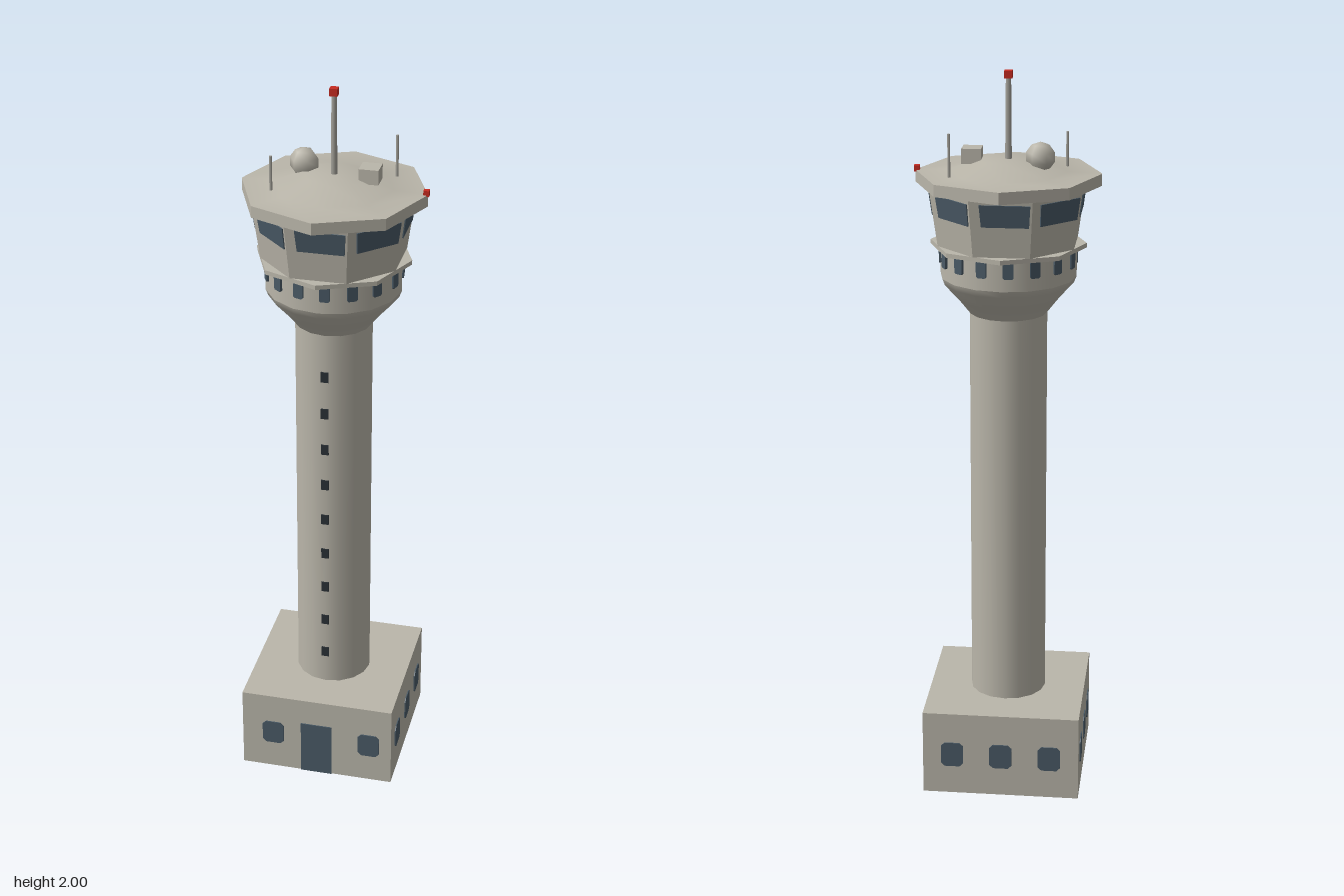
import * as THREE from 'three';

const mat = (name, color) => {
  const m = new THREE.MeshStandardMaterial({ color, side: THREE.DoubleSide });
  m.name = name;
  return m;
};

export function createModel() {
  const concrete = mat('concrete', 0xbab6aa);
  const glass = mat('glass', 0x4a5a66);
  const slit = mat('slit', 0x2a3035);
  const metal = mat('metal', 0xa3a199);
  const red = mat('beaconRed', 0xc62a20);

  const model = new THREE.Group();
  model.name = 'controlTower';

  const add = (name, geometry, material, x = 0, y = 0, z = 0, parent = model) => {
    const mesh = new THREE.Mesh(geometry, material);
    mesh.name = name;
    mesh.position.set(x, y, z);
    parent.add(mesh);
    return mesh;
  };
  const flat = (g) => {
    const f = g.toNonIndexed();
    f.computeVertexNormals();
    return f;
  };
  const lathe = (points, sides) =>
    new THREE.LatheGeometry(points.map(([r, y]) => new THREE.Vector2(r, y)), sides);

  // Thin plate from an outline, centred on its plane
  const plate = (points, depth = 0.006) => {
    const shape = new THREE.Shape(points.map(([x, y]) => new THREE.Vector2(x, y)));
    return new THREE.ExtrudeGeometry(shape, { depth, bevelEnabled: false }).translate(0, 0, -depth / 2);
  };
  // Window outline with clipped corners
  const clipped = (w, h, c) => [
    [-w + c, -h], [w - c, -h], [w, -h + c], [w, h - c],
    [w - c, h], [-w + c, h], [-w, h - c], [-w, -h + c],
  ];
  // Pivot turned about the tower axis, facing outwards along its own +z
  const facing = (name, angle) => {
    const g = new THREE.Group();
    g.name = name;
    g.rotation.y = angle;
    model.add(g);
    return g;
  };

  // Base building: a shell open at the bottom
  const half = 0.218, baseTop = 0.244;
  const shell = new THREE.BoxGeometry(half * 2, baseTop, half * 2);
  const idx = Array.from(shell.index.array);
  idx.splice(18, 6);
  shell.setIndex(idx);
  shell.clearGroups();
  add('baseBuilding', shell, concrete, 0, baseTop / 2, 0);

  // Base windows on four walls, door in the front
  const baseWindow = plate(clipped(0.031, 0.036, 0.01));
  for (let i = 0; i < 4; i++) {
    const wall = facing('baseWall', (i * Math.PI) / 2);
    const places = i === 0 ? [-0.128, 0.152] : [-0.136, 0, 0.136];
    for (const x of places) add('baseWindow', baseWindow, glass, x, 0.12, half, wall);
  }
  add('door', plate([[-0.046, 0], [0.044, 0], [0.044, 0.165], [-0.046, 0.165]]), glass, 0, 0, half);

  // Shaft
  add('shaft', lathe([[0.105, baseTop], [0.105, 1.353]], 16), concrete);
  for (let i = 0; i < 9; i++) {
    add('shaftSlit', new THREE.BoxGeometry(0.021, 0.03, 0.008), slit, -0.001, 0.345 + i * 0.1106, 0.103);
  }

  // Flared collar and the ring below the gallery
  add('collar', lathe([[0.105, 1.353], [0.138, 1.395], [0.176, 1.437], [0.183, 1.455]], 16), concrete);
  add('ring', lathe([[0.183, 1.455], [0.183, 1.535]], 16), concrete);
  const ringWindow = plate(clipped(0.014, 0.023, 0.004), 0.009);
  for (let i = 0; i < 16; i++) {
    const pivot = facing('ringWindowPivot', ((i + 0.25) * Math.PI) / 8);
    add('ringWindow', ringWindow, glass, 0, 1.512, 0.181, pivot);
  }

  // Gallery ledge
  add('galleryLedge', flat(new THREE.CylinderGeometry(0.209, 0.209, 0.012, 8)), concrete, 0, 1.54, 0);

  // Cab: eight walls leaning outwards, each with a wide window
  const cabBottom = 1.545, cabTop = 1.702, a0 = 0.18, a1 = 0.201;
  const c = Math.cos(Math.PI / 8);
  add('cab', flat(new THREE.CylinderGeometry(a1 / c, a0 / c, cabTop - cabBottom, 8, 1, true, Math.PI / 8)),
    concrete, 0, (cabBottom + cabTop) / 2, 0);
  const cabWindow = plate([[-0.051, -0.03], [0.073, -0.03], [0.077, 0.03], [-0.056, 0.03]]);
  const lean = Math.atan2(a1 - a0, cabTop - cabBottom);
  const winY = 1.659;
  const winZ = a0 + ((a1 - a0) * (winY - cabBottom)) / (cabTop - cabBottom);
  for (let i = 0; i < 8; i++) {
    const wall = facing('cabWall', (i * Math.PI) / 4);
    add('cabWindow', cabWindow, glass, 0, winY, winZ, wall).rotation.x = lean;
  }

  // Roof slab and the low raised crown
  add('roofSlab', flat(new THREE.CylinderGeometry(0.247, 0.247, 0.032, 8)), concrete, 0, 1.717, 0);
  add('roofCrown', lathe([[0.247, 1.734], [0.158, 1.737], [0.08, 1.768], [0, 1.769]], 8), concrete);

  // Roof equipment
  add('radarDome', new THREE.SphereGeometry(0.04, 6, 5), concrete, -0.087, 1.781, -0.03);
  add('equipmentBox', new THREE.BoxGeometry(0.052, 0.04, 0.052), concrete, 0.096, 1.777, 0);
  add('mast', new THREE.CylinderGeometry(0.007, 0.009, 0.23, 8), metal, 0, 1.87, 0);
  add('mastBeacon', new THREE.BoxGeometry(0.021, 0.02, 0.021), red, 0, 1.99, 0);
  add('edgeBeacon', new THREE.BoxGeometry(0.015, 0.016, 0.015), red, 0.243, 1.738, 0);
  for (const [x, z, top] of [[-0.15, 0.07, 1.83], [0.145, -0.098, 1.85]]) {
    add('antenna', new THREE.CylinderGeometry(0.004, 0.004, top - 1.72, 6), metal, x, (top + 1.72) / 2, z);
  }

  return model;
}
